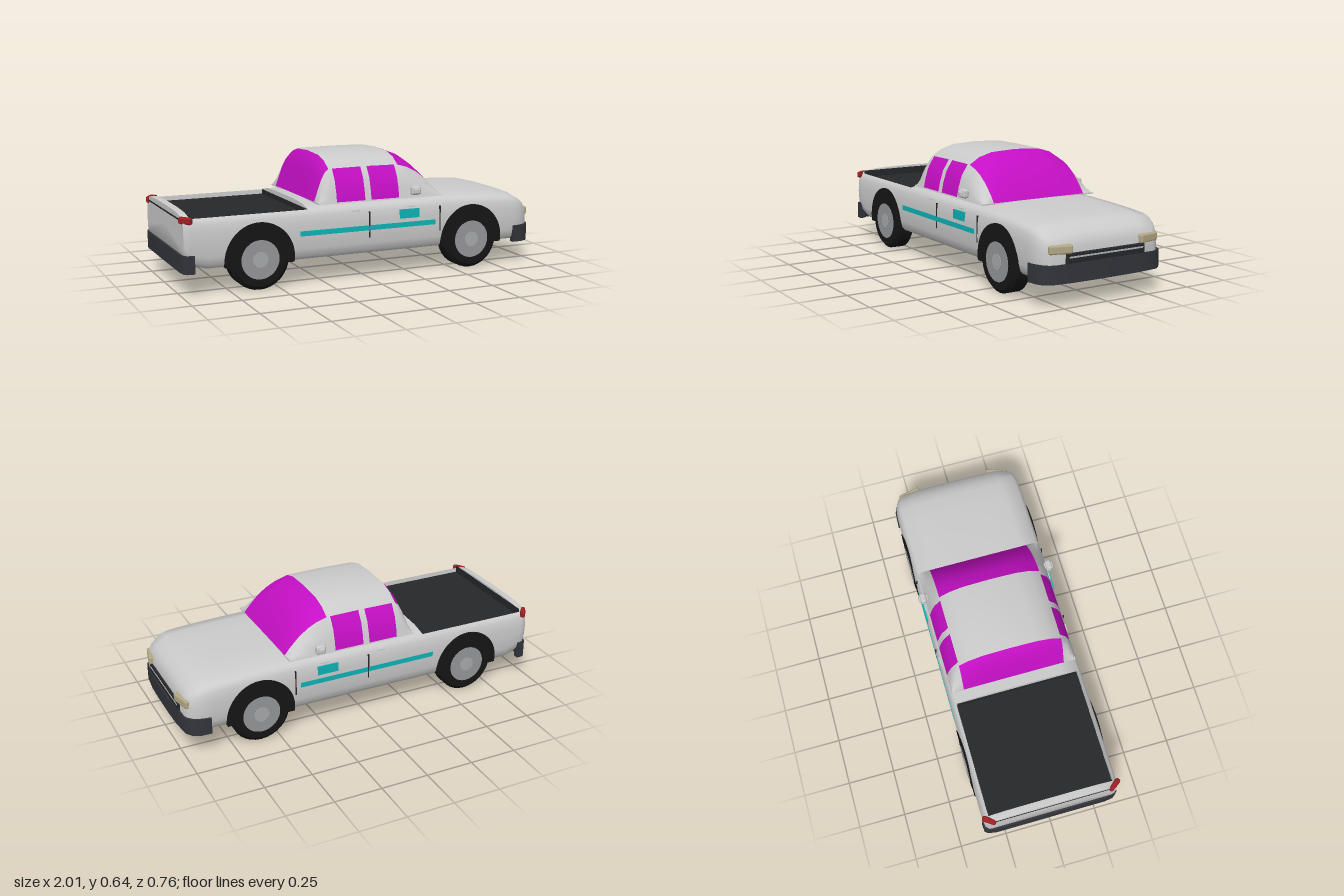
import * as THREE from 'three';
import { toCreasedNormals } from 'three/addons/utils/BufferGeometryUtils.js';
import { RoundedBoxGeometry } from 'three/addons/geometries/RoundedBoxGeometry.js';

const mat = (color) => new THREE.MeshStandardMaterial({ color });

// Full symmetric ring [z, y] from a half section that starts and ends on z = 0
const mirrorRing = (half) => [...half, ...half.slice(1, -1).reverse().map(([z, y]) => [-z, y])];

// Skin rings along +x; keep(i, j) picks the faces, caps close both ends
function loft(xs, rings, keep = () => true, caps = true) {
  const n = rings[0].length, pos = [], idx = [];
  rings.forEach((r, i) => r.forEach(([z, y]) => pos.push(xs[i], y, z)));
  for (let i = 0; i < xs.length - 1; i++) for (let j = 0; j < n; j++) {
    if (!keep(i, j)) continue;
    const k = (j + 1) % n, a = i * n + j, b = i * n + k, c = a + n, d = b + n;
    idx.push(a, c, b, b, c, d);
  }
  if (caps) [0, xs.length - 1].forEach((i) => {
    const c = pos.length / 3, ys = rings[i].map((p) => p[1]);
    pos.push(xs[i], (Math.min(...ys) + Math.max(...ys)) / 2, 0);
    for (let j = 0; j < n; j++) {
      const a = i * n + j, b = i * n + (j + 1) % n;
      i ? idx.push(c, b, a) : idx.push(c, a, b);
    }
  });
  const g = new THREE.BufferGeometry();
  g.setAttribute('position', new THREE.Float32BufferAttribute(pos, 3));
  g.setIndex(idx);
  return toCreasedNormals(g, 0.7);
}

export function createModel() {
  const truck = new THREE.Group();
  const paint = mat(0xcccccc), glass = mat(0xc40fc4), dark = mat(0x25272a), rubber = mat(0x161616);
  const bumperMat = mat(0x33353b), teal = mat(0x0fb5b8), red = mat(0xa02024), lamp = mat(0xb5a986);
  const rimMat = mat(0x97989b), capMat = mat(0xa9abad), chrome = mat(0xb4b8b8);

  const add = (name, geo, material, x = 0, y = 0, z = 0, ry = 0) => {
    const m = new THREE.Mesh(geo, material);
    m.name = name;
    m.position.set(x, y, z);
    m.rotation.y = ry;
    truck.add(m);
  };
  const box = (name, material, w, h, d, x, y, z) =>
    add(name, new THREE.BoxGeometry(w, h, d), material, x, y, z);

  // Body: [x, bottom height, top height, half width], with a sunken bed between bulkhead and tailgate
  const stations = [
    [-0.99, 0.2, 0.408, 0.345], [-0.975, 0.178, 0.41, 0.357], [-0.955, 0.16, 0.41, 0.36], [-0.953, 0.159, 0.41, 0.36],
    [-0.92, 0.142, 0.41, 0.361], [-0.87, 0.127, 0.41, 0.362], [-0.34, 0.127, 0.41, 0.362], [-0.338, 0.127, 0.41, 0.362],
    [0.43, 0.127, 0.41, 0.362], [0.6, 0.127, 0.405, 0.362], [0.75, 0.127, 0.398, 0.362], [0.85, 0.127, 0.39, 0.361],
    [0.89, 0.127, 0.381, 0.358], [0.92, 0.127, 0.364, 0.35], [0.95, 0.127, 0.342, 0.335], [0.97, 0.127, 0.319, 0.315],
    [0.982, 0.127, 0.285, 0.29],
  ];
  const bodyHalf = [[0, 0.13], [0.31, 0.13], [0.335, 0.136], [0.35, 0.155], [0.357, 0.19], [0.36, 0.25], [0.358, 0.31],
    [0.352, 0.355], [0.343, 0.375], [0.332, 0.386], [0.33, 0.388], [0.25, 0.404], [0.13, 0.409], [0, 0.41]];
  add('body', loft(stations.map((s) => s[0]), stations.map(([x, low, top, w]) => mirrorRing(bodyHalf.map(([z, y]) => {
    const h = low + (y - 0.13) * (top - low) / 0.28;
    const limit = x < -0.954 || x > -0.339 ? 1 : z < 0.331 ? 0.358 : 0.385;
    return [z * w / 0.36, Math.min(h, limit)];
  })))), paint);

  // Bed lining and tailgate
  box('bedFloor', dark, 0.612, 0.006, 0.662, -0.647, 0.358, 0);
  box('tailgateInner', dark, 0.004, 0.048, 0.655, -0.952, 0.376, 0);
  box('bulkheadInner', dark, 0.004, 0.03, 0.655, -0.341, 0.371, 0);
  box('tailgateSeam', dark, 0.006, 0.008, 0.6, -0.989, 0.376, 0);

  // Cabin: one arched section, its height scaled along the roof line
  const cabX = [-0.28, -0.26, -0.24, -0.22, -0.2, -0.18, -0.02, 0.015, 0.175, 0.195, 0.25, 0.3, 0.35, 0.4, 0.43];
  const cabH = [0, 0.33, 0.66, 0.88, 0.98, 0.99, 1, 1, 0.99, 0.98, 0.89, 0.74, 0.52, 0.22, 0];
  const cabHalf = [[0, 0.403], [0.342, 0.403], [0.34, 0.41], [0.33, 0.46], [0.311, 0.52], [0.275, 0.577],
    [0.22, 0.613], [0.145, 0.635], [0, 0.642]];
  const cabRings = cabH.map((h) => mirrorRing(cabHalf.map(([z, y]) => [z, y > 0.41 ? 0.41 + (y - 0.41) * h : y])));
  const isGlass = (i, j) => {
    const middle = j >= 5 && j <= 10, side = (j >= 2 && j <= 4) || (j >= 11 && j <= 13);
    return (middle && (i < 4 || i >= 9)) || (side && (i === 5 || i === 7));
  };
  add('cabin', loft(cabX, cabRings, (i, j) => !isGlass(i, j)), paint);
  add('windows', loft(cabX, cabRings, isGlass, false), glass);

  // Wrap-around bumpers: U shape in plan, extruded upwards
  const bumper = (name, outer) => {
    const inner = outer.map(([x, z], i) => [i ? x - Math.sign(x) * 0.03 : x, z - 0.03]);
    const flip = (p) => p.map(([x, z]) => [x, -z]);
    const shape = new THREE.Shape([...outer, ...flip(outer).reverse(), ...flip(inner), ...inner.slice().reverse()]
      .map(([x, z]) => new THREE.Vector2(x, z)));
    const g = new THREE.ExtrudeGeometry(shape, { depth: 0.091, bevelEnabled: false });
    g.rotateX(-Math.PI / 2);
    add(name, toCreasedNormals(g, 0.6), bumperMat, 0, 0.116, 0);
  };
  bumper('frontBumper', [[0.865, 0.365], [0.92, 0.362], [0.96, 0.345], [0.985, 0.31], [0.997, 0.2], [1, 0.08]]);
  bumper('rearBumper', [[-0.94, 0.365], [-0.98, 0.362], [-0.993, 0.345], [-1, 0.3]]);

  // Grille
  add('grille', new RoundedBoxGeometry(0.03, 0.054, 0.462, 2, 0.006), dark, 0.978, 0.229, 0);
  box('grilleBar', chrome, 0.006, 0.008, 0.435, 0.992, 0.237, 0);

  // Wheel and arch shapes
  const tyre = new THREE.LatheGeometry([[0.095, -0.053], [0.138, -0.053], [0.157, -0.036], [0.157, 0.036], [0.138, 0.053],
    [0.095, 0.053]].map(([r, y]) => new THREE.Vector2(r, y)), 32);
  const tyreGeo = toCreasedNormals(tyre.rotateX(Math.PI / 2), 0.5);
  const disc = (r, d) => new THREE.CylinderGeometry(r, r, d, 32).rotateX(Math.PI / 2);
  const rimGeo = disc(0.1, 0.11), capGeo = disc(0.04, 0.114);
  const archShape = new THREE.Shape();
  archShape.absarc(0, 0, 0.184, -0.17, Math.PI + 0.17);
  const archGeo = new THREE.ExtrudeGeometry(archShape, { depth: 0.06, bevelEnabled: false, curveSegments: 32 });

  // Everything that repeats on both sides
  for (const s of [1, -1]) {
    const side = s > 0 ? 'left' : 'right';
    for (const x of [-0.605, 0.6]) {
      const end = x > 0 ? 'Front' : 'Rear';
      add(side + end + 'Arch', archGeo, rubber, x, 0.161, s * 0.303, s > 0 ? 0 : Math.PI);
      add(side + end + 'Tyre', tyreGeo, rubber, x, 0.157, s * 0.311);
      add(side + end + 'Rim', rimGeo, rimMat, x, 0.157, s * 0.311);
      add(side + end + 'HubCap', capGeo, capMat, x, 0.157, s * 0.311);
    }
    // Side trim, door seams and handles
    box(side + 'Stripe', teal, 0.77, 0.026, 0.012, -0.005, 0.268, s * 0.3568);
    box(side + 'DoorBadge', teal, 0.115, 0.048, 0.012, 0.227, 0.325, s * 0.3555);
    for (const x of [-0.005, 0.408]) box(side + 'DoorSeam', dark, 0.006, 0.135, 0.012, x, 0.285, s * 0.3568);
    for (const x of [-0.08, 0.24]) box(side + 'DoorHandle', paint, 0.045, 0.006, 0.01, x, 0.361, s * 0.35);
    // Mirror: wide shell around a slimmer core
    add(side + 'Mirror', new RoundedBoxGeometry(0.056, 0.046, 0.034, 1, 0.012), paint, 0.265, 0.443, s * 0.352);
    add(side + 'MirrorCore', new RoundedBoxGeometry(0.036, 0.03, 0.056, 1, 0.008), paint, 0.265, 0.441, s * 0.35);
    // Lamps follow the rounded corners
    add(side + 'Headlight', new RoundedBoxGeometry(0.04, 0.044, 0.122, 1, 0.01), lamp, 0.972, 0.277, s * 0.257, -s * 0.22);
    add(side + 'TailLight', new RoundedBoxGeometry(0.028, 0.036, 0.075, 1, 0.01), red, -0.975, 0.378, s * 0.334, s * 0.6);
  }
  return truck;
}
